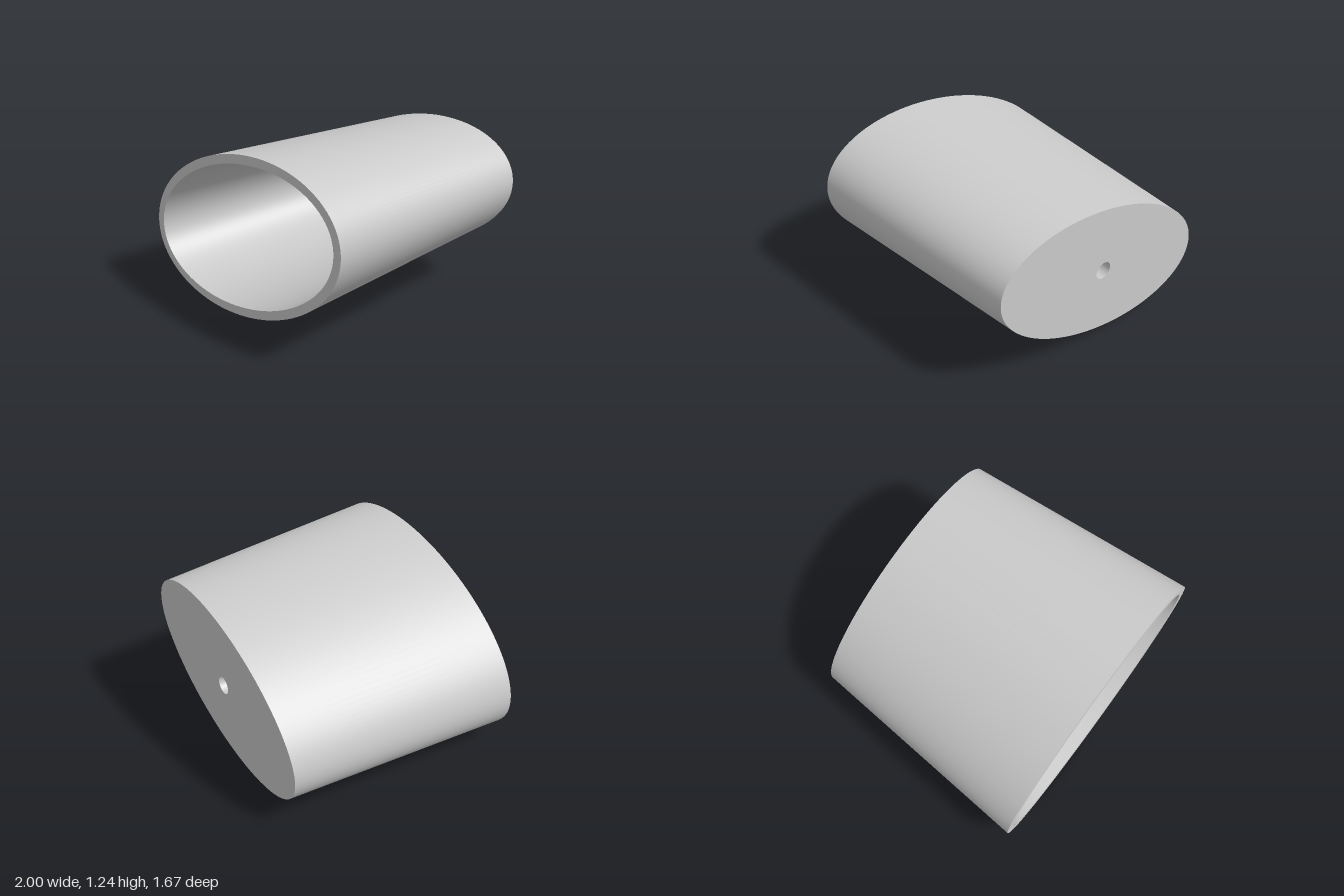
import * as THREE from 'three';

const SEGMENTS = 128;
const TILT = THREE.MathUtils.degToRad(18);
const CENTRE_Y = 0.622;

// Band of quads between two tilted elliptical rings, each { a, b, z }
function loft(name, from, to, material) {
  const positions = [];
  const index = [];
  for (const { a, b, z } of [from, to]) {
    for (let i = 0; i < SEGMENTS; i++) {
      const t = (i / SEGMENTS) * Math.PI * 2;
      const u = a * Math.cos(t);
      const v = b * Math.sin(t);
      positions.push(
        u * Math.cos(TILT) - v * Math.sin(TILT),
        CENTRE_Y + u * Math.sin(TILT) + v * Math.cos(TILT),
        z
      );
    }
  }
  for (let i = 0; i < SEGMENTS; i++) {
    const j = (i + 1) % SEGMENTS;
    index.push(i, i + SEGMENTS, j, j, i + SEGMENTS, j + SEGMENTS);
  }
  const geometry = new THREE.BufferGeometry();
  geometry.setAttribute('position', new THREE.Float32BufferAttribute(positions, 3));
  geometry.setIndex(index);
  geometry.computeVertexNormals();
  const mesh = new THREE.Mesh(geometry, material);
  mesh.name = name;
  return mesh;
}

export function createModel() {
  const group = new THREE.Group();
  group.name = 'taperedOvalCup';
  const material = new THREE.MeshStandardMaterial({ color: 0xcccccc });

  // Closed wall profile, from the outer front edge round to the rim
  const front = 0.835, back = -0.835, floor = -0.735, hole = 0.063;
  const rings = [
    { a: 1.036, b: 0.56, z: front },
    { a: 0.918, b: 0.475, z: back },
    { a: hole, b: hole, z: back },
    { a: hole, b: hole, z: floor },
    { a: 0.861, b: 0.429, z: floor },
    { a: 0.97, b: 0.497, z: front },
  ];
  const names = ['outerWall', 'backFace', 'drainHole', 'innerFloor', 'innerWall', 'rim'];
  names.forEach((name, i) => {
    group.add(loft(name, rings[i], rings[(i + 1) % rings.length], material));
  });
  return group;
}
